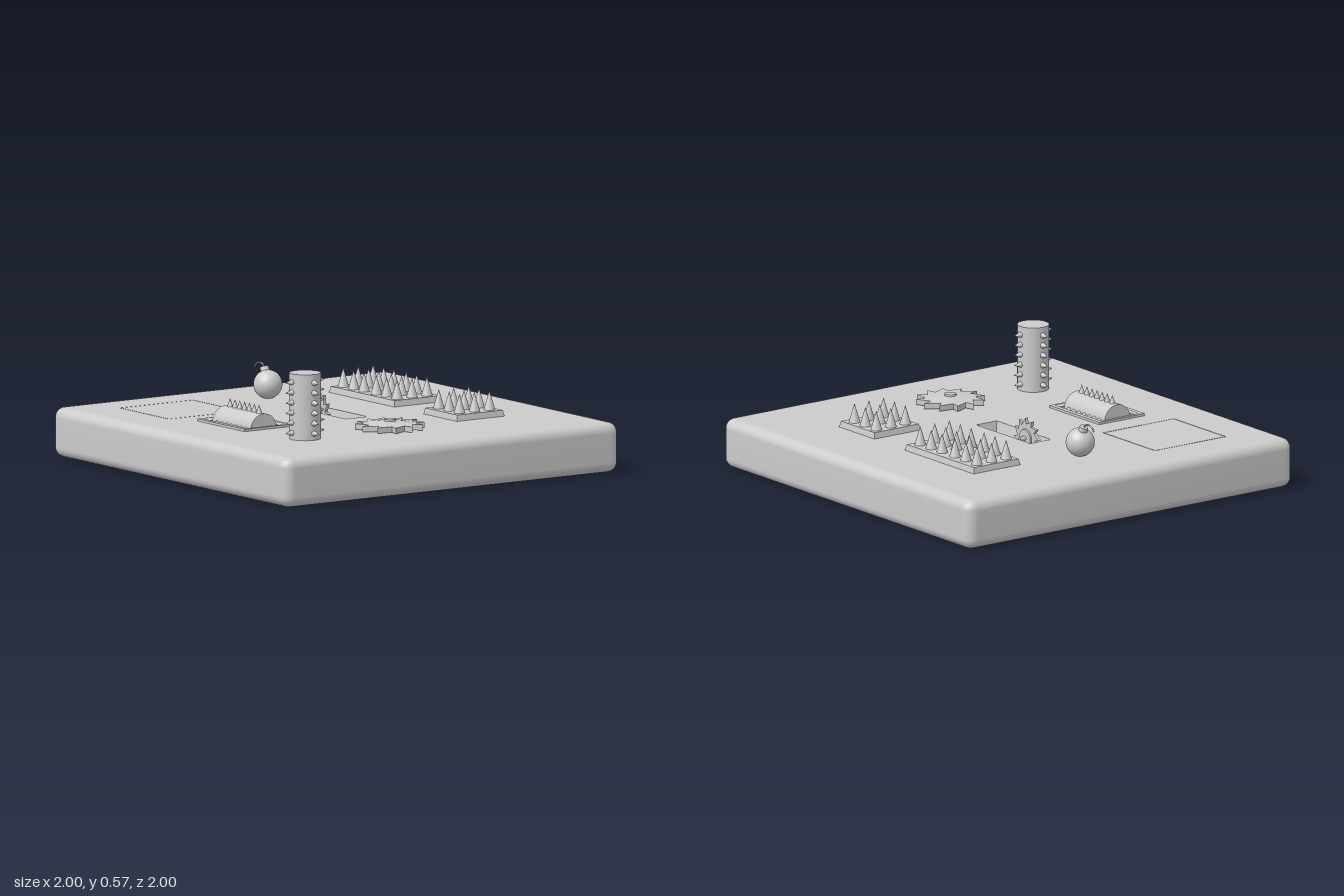
import * as THREE from 'three';

const TOP = 0.245;
const grey = new THREE.MeshStandardMaterial({ color: 0xcccccc });

// Openings in the top of the slab: x0, x1, z0, z1, depth, wall slope
const PITS = {
  trapdoorPit: [-0.75, -0.315, -0.77, -0.35, 0.03, 0],
  rollerPit: [-0.645, -0.415, -0.203, 0.163, 0.1, 0],
  sawSlot: [-0.038, 0.087, -0.295, 0.14, 0.08, 0.018],
};

function add(parent, name, geometry, x = 0, y = 0, z = 0) {
  const mesh = new THREE.Mesh(geometry, grey);
  mesh.name = name;
  mesh.position.set(x, y, z);
  parent.add(mesh);
  return mesh;
}

function addGroup(parent, name, x = 0, y = 0, z = 0) {
  const group = new THREE.Group();
  group.name = name;
  group.position.set(x, y, z);
  parent.add(group);
  return group;
}

// Outline of a square with rounded corners, as [x, z] points
function roundedSquare(half, radius, steps = 6) {
  const points = [];
  for (let c = 0; c < 4; c++) {
    const mid = (c + 0.5) * Math.PI / 2;
    const cx = Math.sign(Math.cos(mid)) * (half - radius);
    const cz = Math.sign(Math.sin(mid)) * (half - radius);
    for (let i = 0; i <= steps; i++) {
      const a = (c + i / steps) * Math.PI / 2;
      points.push([cx + radius * Math.cos(a), cz + radius * Math.sin(a)]);
    }
  }
  return points;
}

// Rounded sides of the slab, lofted from stacked outlines
function slabSides(bevel, corner) {
  const profile = [];
  for (let i = 0; i <= 5; i++) {
    const a = i / 5 * Math.PI / 2;
    profile.push([bevel * (1 - Math.sin(a)), bevel * (1 - Math.cos(a))]);
  }
  for (let i = 5; i >= 0; i--) profile.push([profile[i][0], TOP - profile[i][1]]);
  const positions = [], index = [];
  let n = 0;
  for (const [inset, y] of profile) {
    const ring = roundedSquare(1 - inset, corner - inset);
    n = ring.length;
    for (const [x, z] of ring) positions.push(x, y, z);
  }
  for (let r = 0; r < profile.length - 1; r++) {
    for (let i = 0; i < n; i++) {
      const a = r * n + i, b = r * n + (i + 1) % n;
      index.push(a, a + n, b, b, a + n, b + n);
    }
  }
  const geometry = new THREE.BufferGeometry();
  geometry.setAttribute('position', new THREE.Float32BufferAttribute(positions, 3));
  geometry.setIndex(index);
  geometry.computeVertexNormals();
  return geometry;
}

function rectPath(x0, x1, z0, z1) {
  return new THREE.Path([[x0, -z0], [x1, -z0], [x1, -z1], [x0, -z1]].map(p => new THREE.Vector2(...p)));
}

// Open box seen from inside, with its floor narrowed by the slope
function pitGeometry([x0, x1, z0, z1, depth, slope]) {
  const geometry = new THREE.BoxGeometry(x1 - x0, depth, z1 - z0);
  const p = geometry.attributes.position;
  for (let i = 0; i < p.count; i++) {
    if (p.getY(i) < 0) {
      p.setX(i, p.getX(i) - Math.sign(p.getX(i)) * slope);
      p.setZ(i, p.getZ(i) - Math.sign(p.getZ(i)) * slope);
    }
  }
  const faces = Array.from(geometry.index.array);
  faces.splice(12, 6);
  geometry.setIndex(faces.reverse());
  geometry.computeVertexNormals();
  return geometry.translate((x0 + x1) / 2, TOP - depth / 2, (z0 + z1) / 2);
}

function buildSlab(parent) {
  const slab = addGroup(parent, 'slab');
  const outline = half => new THREE.Shape(roundedSquare(half, 0.01).map(([x, z]) => new THREE.Vector2(x, z)));
  add(slab, 'slabSides', slabSides(0.05, 0.06));
  const top = outline(0.95);
  for (const [name, pit] of Object.entries(PITS)) {
    top.holes.push(rectPath(...pit.slice(0, 4)));
    add(slab, name, pitGeometry(pit));
  }
  add(slab, 'slabTop', new THREE.ShapeGeometry(top).rotateX(-Math.PI / 2), 0, TOP, 0);
  add(slab, 'slabBottom', new THREE.ShapeGeometry(outline(0.95)).rotateX(Math.PI / 2));
  add(slab, 'trapdoor', new THREE.BoxGeometry(0.427, 0.03, 0.412), -0.5325, TOP - 0.015, -0.56);
}

// Upright drum with rows of cone spikes on four sides
function spikedDrum(parent, name, height, rows, firstRow, spacing) {
  const drum = addGroup(parent, name);
  add(drum, 'drum', new THREE.CylinderGeometry(0.078, 0.078, height, 32), 0, height / 2, 0);
  const spike = new THREE.ConeGeometry(0.016, 0.045, 12).rotateZ(-Math.PI / 2).translate(0.0955, 0, 0);
  for (let r = 0; r < rows; r++) {
    for (let s = 0; s < 4; s++) {
      add(drum, 'drumSpike', spike, 0, firstRow + r * spacing, 0).rotation.y = s * Math.PI / 2;
    }
  }
  return drum;
}

// Saw disc with slanted teeth, centred on its axis z
function sawGeometry(outer, inner, teeth, depth) {
  const points = [];
  for (let i = 0; i < teeth; i++) {
    const step = Math.PI * 2 / teeth, a = i * step;
    points.push(new THREE.Vector2(inner * Math.cos(a), inner * Math.sin(a)));
    points.push(new THREE.Vector2(outer * Math.cos(a + step * 0.15), outer * Math.sin(a + step * 0.15)));
  }
  return new THREE.ExtrudeGeometry(new THREE.Shape(points), { depth, bevelEnabled: false }).translate(0, 0, -depth / 2);
}

function spikePlate(parent, name, x0, x1, z0, z1, rows) {
  const plate = addGroup(parent, name);
  const geometry = new THREE.BoxGeometry(x1 - x0, 0.03, z1 - z0);
  const p = geometry.attributes.position;
  for (let i = 0; i < p.count; i++) {
    if (p.getY(i) > 0) {
      p.setX(i, p.getX(i) - Math.sign(p.getX(i)) * 0.006);
      p.setZ(i, p.getZ(i) - Math.sign(p.getZ(i)) * 0.006);
    }
  }
  geometry.computeVertexNormals();
  add(plate, 'plate', geometry, (x0 + x1) / 2, TOP + 0.015, (z0 + z1) / 2);
  const cone = new THREE.ConeGeometry(0.028, 0.095, 20);
  for (const z of rows) {
    for (const x of [0.416, 0.505, 0.594]) add(plate, 'spike', cone, x, 0.3225, z);
  }
}

export function createModel() {
  const model = new THREE.Group();
  model.name = 'trapBoard';
  buildSlab(model);

  // Standing spiked column
  spikedDrum(model, 'spikedColumn', 0.325, 6, 0.033, 0.05).position.set(-0.545, TOP, 0.515);

  // Lying spiked roller in its frame
  const roller = addGroup(model, 'spikedRoller', -0.53, 0, -0.02);
  const drum = spikedDrum(roller, 'rollerDrum', 0.326, 7, 0.04, 0.041);
  drum.rotation.x = Math.PI / 2;
  drum.position.set(0, 0.238, -0.163);
  add(roller, 'axle', new THREE.CylinderGeometry(0.012, 0.012, 0.37, 16).rotateX(Math.PI / 2), 0, 0.238, 0);
  const frame = new THREE.Shape(rectPath(-0.14, 0.14, -0.2, 0.2).getPoints());
  frame.holes.push(rectPath(-0.115, 0.115, -0.183, 0.183));
  add(roller, 'rollerFrame', new THREE.ExtrudeGeometry(frame, { depth: 0.012, bevelEnabled: false })
    .rotateX(-Math.PI / 2), 0, TOP, 0);

  // Flat saw blade with a shallow domed face and a hub
  const flatSaw = addGroup(model, 'flatSaw', -0.05, 0, 0.53);
  add(flatSaw, 'sawDisc', sawGeometry(0.172, 0.122, 12, 0.028).rotateX(-Math.PI / 2), 0, 0.264, 0);
  add(flatSaw, 'sawFace', new THREE.CylinderGeometry(0.055, 0.12, 0.01, 12, 1), 0, 0.283, 0);
  add(flatSaw, 'sawHub', new THREE.CylinderGeometry(0.028, 0.03, 0.01, 24), 0, 0.292, 0);

  // Upright saw blade in the slot
  const slotSaw = addGroup(model, 'slotSaw', 0.023, 0.24, -0.187);
  add(slotSaw, 'slotBlade', sawGeometry(0.1, 0.07, 12, 0.016).rotateY(Math.PI / 2));
  add(slotSaw, 'slotHub', new THREE.CylinderGeometry(0.045, 0.045, 0.034, 20).rotateZ(Math.PI / 2));
  add(slotSaw, 'slotAxle', new THREE.CylinderGeometry(0.012, 0.012, 0.1, 12).rotateZ(Math.PI / 2));

  // Spike plates
  spikePlate(model, 'longSpikePlate', 0.365, 0.65, -0.58, -0.025, [-0.532, -0.443, -0.355, -0.251, -0.163, -0.075]);
  spikePlate(model, 'squareSpikePlate', 0.36, 0.643, 0.23, 0.515, [0.28, 0.368, 0.456]);

  // Round bomb with a tilted neck and a curved fuse
  const bomb = addGroup(model, 'bomb', 0.025, 0.312, -0.615);
  add(bomb, 'bombBody', new THREE.SphereGeometry(0.071, 32, 20));
  add(bomb, 'bombNeck', new THREE.CylinderGeometry(0.021, 0.023, 0.024, 20), 0, 0.072, -0.027).rotation.x = -0.35;
  const fuse = new THREE.CatmullRomCurve3([[0.075, -0.028], [0.093, -0.042], [0.1, -0.068], [0.092, -0.095], [0.072, -0.112]]
    .map(([y, z]) => new THREE.Vector3(0, y, z)));
  add(bomb, 'fuse', new THREE.TubeGeometry(fuse, 20, 0.004, 8));
  return model;
}
